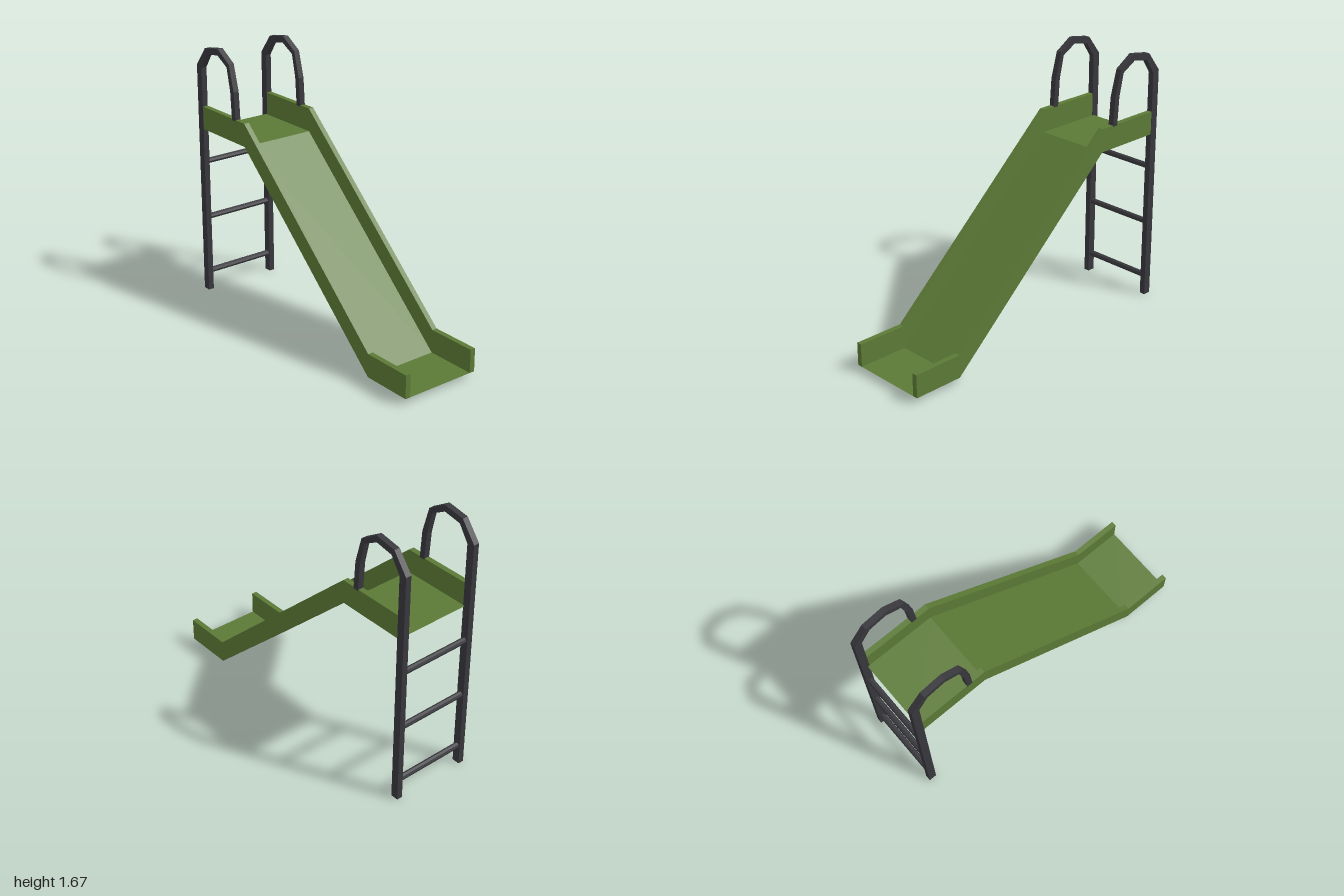
import * as THREE from 'three';

const GREEN = new THREE.MeshStandardMaterial({ color: 0x5c7a36, flatShading: true, side: THREE.DoubleSide });
const DARK = new THREE.MeshStandardMaterial({ color: 0x38383d, flatShading: true });

const Z_IN = 0.229, Z_OUT = 0.264; // inner and outer faces of the side parts

// Extrudes a side profile (x, y) between two depths
function slab(points, z0, z1) {
  const shape = new THREE.Shape(points.map(([x, y]) => new THREE.Vector2(x, y)));
  const geo = new THREE.ExtrudeGeometry(shape, { depth: z1 - z0, bevelEnabled: false });
  return geo.translate(0, 0, z0);
}

function add(group, name, geo, material) {
  const mesh = new THREE.Mesh(geo, material);
  mesh.name = name;
  group.add(mesh);
  return mesh;
}

export function createModel() {
  const group = new THREE.Group();
  group.name = 'playgroundSlide';

  // Chute line: platform, slope, run-out
  const bed = [[-0.962, 1.11], [-0.505, 1.11], [0.675, 0.037], [1, 0.037]];
  const wallHeight = 0.148;
  const wall = [...bed, ...bed.map(([x, y]) => [x, y + wallHeight]).reverse()];

  // Ladder post that bends over into a handrail hoop
  const rail = [
    [-1, 0], [-0.95, 0], [-0.95, 1.508], [-0.885, 1.605], [-0.77, 1.626], [-0.674, 1.572],
    [-0.642, 1.428], [-0.63, 1.25], [-0.593, 1.25], [-0.605, 1.43], [-0.65, 1.595],
    [-0.765, 1.667], [-0.905, 1.643], [-1, 1.52],
  ];

  for (const [side, s] of [['front', 1], ['back', -1]]) {
    const span = (a, b) => (s > 0 ? [a, b] : [-b, -a]);
    add(group, side + 'SideWall', slab(wall, ...span(Z_IN, Z_OUT - 0.001)), GREEN);
    add(group, side + 'PostAndHandrail', slab(rail, ...span(Z_IN - 0.001, Z_OUT + 0.001)), DARK);
  }

  // Thin sheet floor following the chute line
  const floor = new THREE.PlaneGeometry(1, 1, bed.length - 1, 1);
  const pos = floor.attributes.position;
  for (let i = 0; i < pos.count; i++) {
    const [x, y] = bed[i % bed.length];
    pos.setXYZ(i, x, y, i < bed.length ? -Z_IN : Z_IN);
  }
  const sheet = floor.toNonIndexed();
  sheet.computeVertexNormals();
  add(group, 'chuteFloor', sheet, GREEN);

  // Ladder rungs
  for (let i = 0; i < 3; i++) {
    const geo = new THREE.CylinderGeometry(0.019, 0.019, Z_IN * 2, 8).rotateX(Math.PI / 2);
    add(group, 'rung' + (i + 1), geo, DARK).position.set(-0.975, 0.125 + i * 0.38, 0);
  }

  return group;
}
